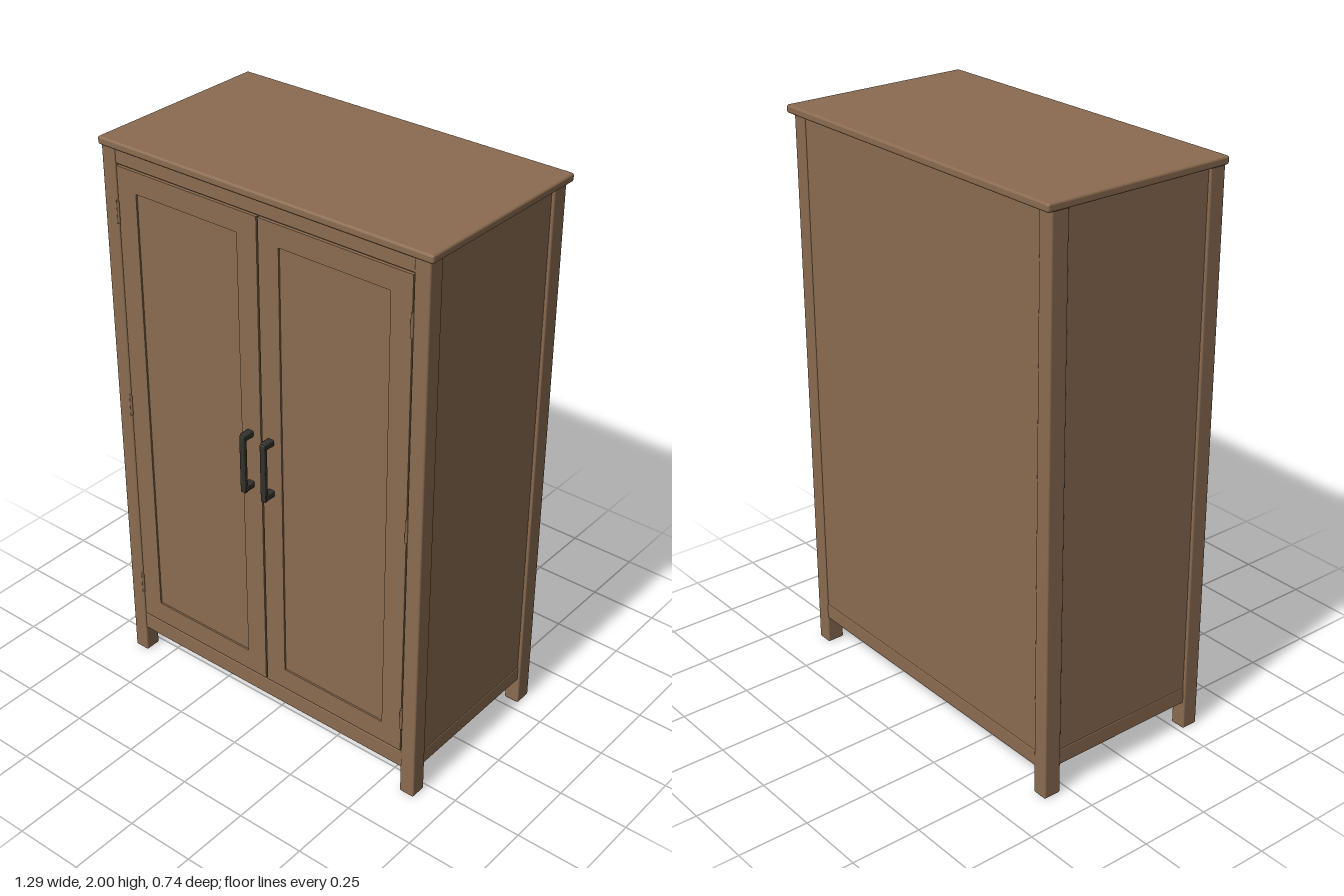
import * as THREE from 'three';
import { RoundedBoxGeometry } from 'three/addons/geometries/RoundedBoxGeometry.js';

export function createModel() {
  const wood = new THREE.MeshStandardMaterial({ color: 0x8a6b50 });
  wood.name = 'brown wood';
  const iron = new THREE.MeshStandardMaterial({ color: 0x33312b });
  iron.name = 'dark iron';

  const model = new THREE.Group();
  model.name = 'wardrobe';

  // Box given by its minimum and maximum corners, with optional rounded edges
  function box(name, min, max, material = wood, radius = 0, parent = model) {
    const s = max.map((v, i) => v - min[i]);
    const geometry = radius
      ? new RoundedBoxGeometry(s[0], s[1], s[2], 2, radius)
      : new THREE.BoxGeometry(...s);
    const mesh = new THREE.Mesh(geometry, material);
    mesh.position.set(...max.map((v, i) => (v + min[i]) / 2));
    mesh.name = name;
    parent.add(mesh);
    return mesh;
  }

  // Carcass with a slightly recessed floor
  box('carcass', [-0.624, 0.12, -0.342], [0.624, 1.975, 0.315]);
  box('top', [-0.645, 1.972, -0.37], [0.645, 2, 0.333], wood, 0.008);

  // Rails between the posts
  box('frontBottomRail', [-0.585, 0.1, 0.28], [0.585, 0.168, 0.324], wood, 0.006);
  box('frontTopRail', [-0.585, 1.922, 0.28], [0.585, 1.975, 0.324], wood, 0.006);
  box('backBottomRail', [-0.585, 0.1, -0.344], [0.585, 0.16, -0.305], wood, 0.006);

  // Corner posts run down into the feet
  for (const side of [-1, 1]) {
    const label = side > 0 ? 'left' : 'right';
    const x0 = Math.min(side * 0.578, side * 0.634);
    box(label + 'FrontPost', [x0, 0, 0.268], [x0 + 0.056, 1.975, 0.328], wood, 0.006);
    box(label + 'BackPost', [x0, 0, -0.347], [x0 + 0.056, 1.975, -0.283], wood, 0.006);
    const r0 = Math.min(side * 0.595, side * 0.626);
    box(label + 'BottomRail', [r0, 0.1, -0.29], [r0 + 0.031, 0.16, 0.275], wood, 0.006);
  }

  // Door frame with an opening over a recessed panel
  const rect = (target, x0, y0, x1, y1) => {
    target.moveTo(x0, y0);
    target.lineTo(x1, y0);
    target.lineTo(x1, y1);
    target.lineTo(x0, y1);
    target.closePath();
    return target;
  };
  for (const side of [-1, 1]) {
    const door = new THREE.Group();
    door.name = side > 0 ? 'leftDoor' : 'rightDoor';
    const span = (a, b) => [Math.min(side * a, side * b), Math.max(side * a, side * b)];
    const [x0, x1] = span(0.003, 0.575);
    const [h0, h1] = span(0.082, 0.497);
    const shape = rect(new THREE.Shape(), x0, 0.172, x1, 1.918);
    shape.holes.push(rect(new THREE.Path(), h0, 0.253, h1, 1.843));
    const frame = new THREE.Mesh(
      new THREE.ExtrudeGeometry(shape, { depth: 0.016, bevelEnabled: false }), wood);
    frame.position.z = 0.31;
    frame.name = 'doorFrame';
    door.add(frame);
    box('doorPanel', [h0, 0.253, 0.31], [h1, 1.843, 0.32], wood, 0, door);

    // Hinge knuckles on the outer edge
    for (const y of [0.31, 1.05, 1.76]) {
      const hinge = new THREE.Mesh(new THREE.CylinderGeometry(0.005, 0.005, 0.08, 8), wood);
      hinge.position.set(side * 0.577, y, 0.328);
      hinge.name = 'hinge';
      door.add(hinge);
    }

    // Pull handle: upright bar on two short mounts
    const c = side > 0 ? 0.039 : -0.046;
    box('handleBar', [c - 0.01, 0.945, 0.355], [c + 0.01, 1.16, 0.37], iron, 0.003, door);
    for (const y of [0.96, 1.152]) {
      box('handleMount', [c - 0.012, y - 0.011, 0.322], [c + 0.012, y + 0.011, 0.364], iron, 0.003, door);
    }
    model.add(door);
  }

  return model;
}
